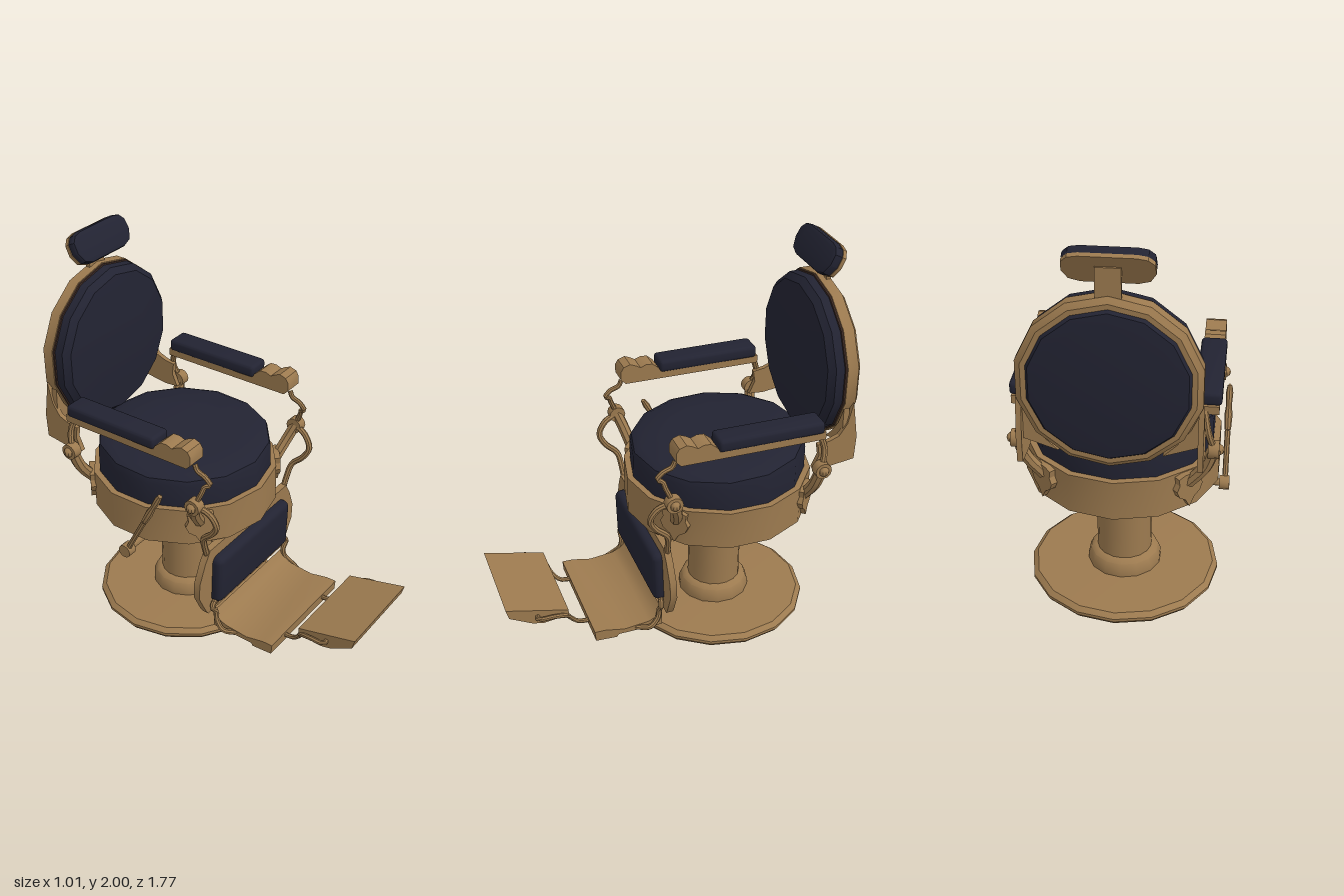
import * as THREE from 'three';
import { toCreasedNormals } from 'three/addons/utils/BufferGeometryUtils.js';
import { RoundedBoxGeometry } from 'three/addons/geometries/RoundedBoxGeometry.js';

const material = (name, color) => {
  const m = new THREE.MeshStandardMaterial({ color });
  m.name = name;
  return m;
};

export function createModel() {
  const brass = material('aged brass', 0x9c7a4f);
  const leather = material('dark leather', 0x222332);
  const worn = material('worn leather', 0x3a2822);
  const model = new THREE.Group();
  model.name = 'reclining chair';
  const chair = new THREE.Group();
  chair.name = 'chair';
  chair.position.x = 0.017;
  model.add(chair);

  const add = (name, geometry, mat, x = 0, y = 0, z = 0, parent = chair) => {
    const mesh = new THREE.Mesh(toCreasedNormals(geometry, 0.6), mat);
    mesh.name = name;
    mesh.position.set(x, y, z);
    parent.add(mesh);
    return mesh;
  };
  const v2 = (pts) => pts.map(([x, y]) => new THREE.Vector2(x, y));
  const lathe = (pts, sides) => new THREE.LatheGeometry(v2(pts), sides);
  const tube = (pts, r, segments = 20) => new THREE.TubeGeometry(
    new THREE.CatmullRomCurve3(pts.map((p) => new THREE.Vector3(...p))), segments, r, 8);
  const plate = (pts, depth) => new THREE.ExtrudeGeometry(
    new THREE.Shape(v2(pts)), { depth, bevelEnabled: false });
  // Outline given as (z, y), extruded across x and centred on x = 0
  const sidePlate = (pts, width) => plate(pts, width).rotateY(-Math.PI / 2).translate(width / 2, 0, 0);
  // Outline given as its right half from bottom to top, mirrored to the left
  const symmetric = (half) => [...half, ...half.map(([x, y]) => [-x, y]).reverse()]
    .filter((p, i, all) => i === 0 || Math.hypot(p[0] - all[i - 1][0], p[1] - all[i - 1][1]) > 1e-6);
  const axle = (r, length) => new THREE.CylinderGeometry(r, r, length, 12).rotateZ(Math.PI / 2);

  // Pedestal
  const cz = -0.302;
  add('base', lathe([[0, 0], [0.46, 0], [0.475, 0.02], [0.475, 0.035], [0.45, 0.055], [0, 0.062]], 16), brass, 0, 0, cz);
  add('baseCollar', lathe([[0.185, 0.055], [0.185, 0.09], [0.17, 0.125], [0.15, 0.14], [0.13, 0.145]], 14), brass, 0, 0, cz);
  add('column', new THREE.CylinderGeometry(0.137, 0.137, 0.58, 18), brass, 0, 0.35, cz);

  // Seat
  add('seatBand', new THREE.CylinderGeometry(0.476, 0.476, 0.2, 14), brass, 0, 0.73, cz);
  const seat = lathe([[0.445, 0.82], [0.445, 0.95], [0.437, 0.985], [0.4, 1.005], [0.25, 1.012], [0, 1.015]], 14);
  const sp = seat.attributes.position;
  for (let i = 0; i < sp.count; i++) { // top rises gently to the rear
    if (sp.getY(i) > 0.98) sp.setY(i, sp.getY(i) - sp.getZ(i) * 0.035);
  }
  add('seatCushion', seat, leather, 0, 0, cz);

  // Backrest: round frame with padding on both faces
  const round = (pts) => lathe(pts, 14).rotateX(Math.PI / 2);
  const backY = 1.383;
  add('backFrontCushion', round([[0.402, -0.79], [0.4, -0.735], [0.37, -0.705], [0.2, -0.685], [0, -0.682]]), leather, 0, backY, 0);
  add('backPiping', round([[0.408, -0.792], [0.408, -0.78], [0.395, -0.776]]), worn, 0, backY, 0);
  add('backFrame', round([[0, -0.865], [0.385, -0.865], [0.412, -0.845], [0.412, -0.79], [0.39, -0.785]]), brass, 0, backY, 0);
  add('backRearCushion', round([[0, -0.89], [0.3, -0.888], [0.35, -0.88], [0.365, -0.86]]), leather, 0, backY, 0);

  // Headrest
  add('headrestPost', new THREE.BoxGeometry(0.11, 0.18, 0.025), brass, 0, 1.83, -0.832);
  const headrest = new THREE.Group();
  headrest.name = 'headrest';
  headrest.position.set(0, 1.916, -0.798);
  headrest.rotation.x = -0.48;
  chair.add(headrest);
  const headOutline = symmetric([[0.12, -0.083], [0.17, -0.065], [0.195, -0.015], [0.192, 0.04], [0.165, 0.07], [0.12, 0.08]]);
  add('headrestBacking', plate(headOutline, 0.02), brass, 0, 0, -0.03, headrest);
  add('headrestCushion', new THREE.ExtrudeGeometry(new THREE.Shape(v2(headOutline)),
    { depth: 0.022, bevelSize: 0.015, bevelThickness: 0.015, bevelOffset: -0.015, bevelSegments: 2 }), leather, 0, 0, -0.002, headrest);

  const armOutline = [[-0.67, 1.155], [0.06, 1.155], [0.085, 1.18], [0.085, 1.225], [0.07, 1.25], [0.035, 1.262],
    [0.005, 1.25], [-0.02, 1.235], [-0.05, 1.247], [-0.085, 1.245], [-0.12, 1.215], [-0.13, 1.195], [-0.67, 1.195]];
  const leafOutline = symmetric([[0, -0.095], [0.025, -0.05], [0.06, -0.025], [0.075, 0.01], [0.06, 0.04], [0.065, 0.075], [0.03, 0.085]]);

  for (const s of [-1, 1]) {
    const side = s > 0 ? 'left' : 'right';
    // Arms
    add(side + 'Arm', sidePlate(armOutline, 0.1), brass, s * 0.414, 0, 0);
    add(side + 'ArmCushion', new RoundedBoxGeometry(0.122, 0.064, 0.535, 2, 0.018), leather, s * 0.414, 1.222, -0.392);
    add(side + 'ArmScroll', tube([[s * 0.41, 1.16, 0.07], [s * 0.41, 1.125, 0.085], [s * 0.41, 1.105, 0.13], [s * 0.41, 1.07, 0.16],
      [s * 0.42, 1.06, 0.135], [s * 0.43, 1.03, 0.125], [s * 0.44, 0.95, 0.09]], 0.013), brass);
    add(side + 'RearArmPost', tube([[s * 0.4, 1.17, -0.66], [s * 0.42, 1.07, -0.69], [s * 0.445, 0.98, -0.67]], 0.016, 8), brass);

    // Pivots with leaf-shaped mounts on the seat band
    for (const [end, y, z, leafZ] of [['Front', 0.945, 0.09, 0.035], ['Rear', 0.975, -0.67, -0.64]]) {
      add(side + end + 'Pivot', axle(0.042, 0.05), brass, s * 0.446, y, z);
      add(side + end + 'PivotCap', new THREE.SphereGeometry(0.026, 10, 6), brass, s * 0.468, y, z);
      add(side + end + 'Stem', tube([[s * 0.445, y, z], [s * 0.41, 0.87, (z + leafZ) / 2], [s * 0.335, 0.77, leafZ]], 0.03, 8), brass);
      const leaf = add(side + end + 'Leaf', plate(leafOutline, 0.035), brass, s * 0.32, 0.74, leafZ - 0.01 * Math.sign(leafZ - cz));
      leaf.rotation.y = Math.atan2(s * 0.32, leafZ - cz);
    }

    // Bracket flaring from the rear pivot to the backrest
    add(side + 'BackBracket', sidePlate([[-0.64, 0.96], [-0.72, 0.955], [-0.86, 0.975], [-0.865, 1.1], [-0.835, 1.29],
      [-0.81, 1.18], [-0.77, 1.12], [-0.72, 1.1], [-0.66, 1.09], [-0.67, 1.03]], 0.025), brass, s * 0.395, 0, 0);
    const wing = add(side + 'BackWing', plate([[0, 0], [0.17, 0.06], [0.165, 0.24], [0.12, 0.14], [0.06, 0.06]], 0.03), brass, s * 0.23, 1.02, -0.82);
    if (s < 0) wing.rotation.y = Math.PI;
    if (s < 0) wing.position.z = -0.79;

    // Hanger from front pivot to the leg rest
    add(side + 'LegRestHanger', tube([[s * 0.44, 0.945, 0.09], [s * 0.425, 0.915, 0.16], [s * 0.415, 0.85, 0.195], [s * 0.405, 0.79, 0.165],
      [s * 0.395, 0.73, 0.105], [s * 0.37, 0.66, 0.09], [s * 0.345, 0.59, 0.085]], 0.016, 24), brass);

    // Scrolled hangers of the foot plate
    add(side + 'FootHanger', tube([[s * 0.29, 0.26, 0.1], [s * 0.32, 0.285, 0.11], [s * 0.345, 0.26, 0.115], [s * 0.315, 0.22, 0.115],
      [s * 0.32, 0.17, 0.125], [s * 0.33, 0.13, 0.17], [s * 0.3, 0.125, 0.24]], 0.014), brass);

    // Curved arms carrying the footrest
    add(side + 'FootrestArm', tube([[s * 0.18, 0.135, 0.4], [s * 0.18, 0.14, 0.5], [s * 0.195, 0.185, 0.545], [s * 0.245, 0.25, 0.58],
      [s * 0.27, 0.28, 0.65], [s * 0.27, 0.285, 0.73], [s * 0.22, 0.29, 0.72]], 0.012), brass);
  }

  // Leg rest
  const legRest = new THREE.Group();
  legRest.name = 'legRest';
  legRest.position.set(0, 0.42, 0.08);
  legRest.rotation.x = 0.04;
  chair.add(legRest);
  add('legRestPanel', plate(symmetric([[0.345, -0.21], [0.365, -0.18], [0.425, -0.06], [0.425, 0.03], [0.385, 0.13], [0.345, 0.2]]), 0.035),
    brass, 0, 0, -0.018, legRest);
  add('legRestCushion', new RoundedBoxGeometry(0.64, 0.285, 0.085, 3, 0.035), leather, 0, -0.005, 0.025, legRest);

  // Foot plate and hinged footrest
  add('footPlate', sidePlate([[0.1, 0.115], [0.33, 0.11], [0.34, 0.095], [0.45, 0.1], [0.455, 0.155], [0.4, 0.155], [0.3, 0.135],
    [0.17, 0.15], [0.13, 0.17], [0.1, 0.21]], 0.62), brass);
  add('footrest', sidePlate([[0.57, 0.255], [0.7, 0.238], [0.755, 0.25], [0.87, 0.31], [0.885, 0.362], [0.57, 0.286]], 0.5), brass);
  add('footrestUnderPad', sidePlate([[0.595, 0.246], [0.7, 0.232], [0.757, 0.244], [0.865, 0.3], [0.862, 0.308], [0.755, 0.252],
    [0.7, 0.24], [0.595, 0.254]], 0.42), leather);

  // Lift lever on the right
  add('leverShaft', axle(0.018, 0.5), brass, -0.25, 0.545, cz);
  add('leverHub', axle(0.035, 0.05), brass, -0.492, 0.545, cz);
  add('leverRod', tube([[-0.495, 0.54, cz], [-0.495, 0.77, -0.18]], 0.014, 1), brass);
  const handle = add('leverHandle', lathe([[0, 0], [0.016, 0.01], [0.02, 0.08], [0.014, 0.13], [0.018, 0.19], [0.012, 0.225], [0, 0.235]], 8),
    brass, -0.495, 0.765, -0.183);
  handle.rotation.x = 0.5;
  return model;
}
